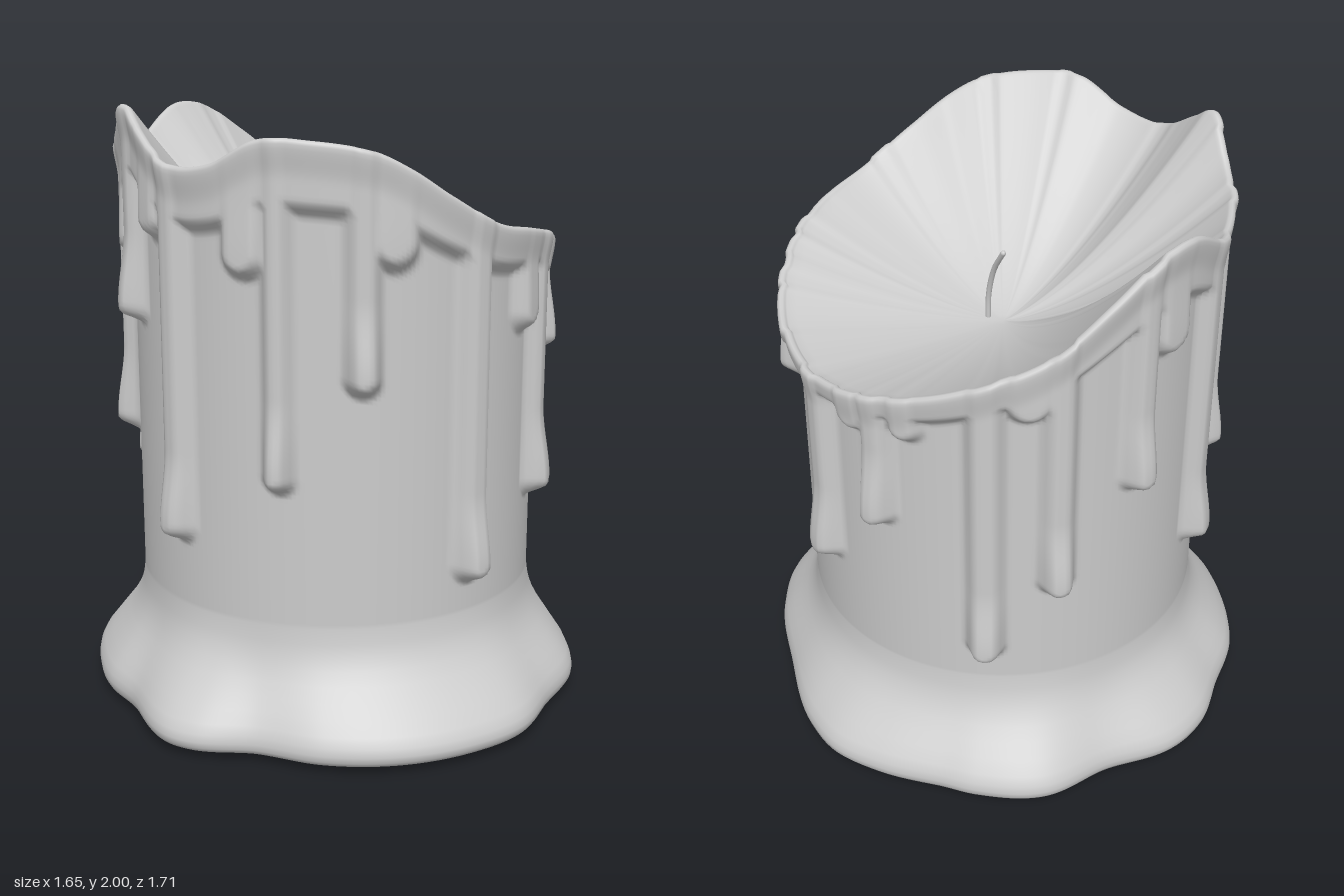
import * as THREE from 'three';

const N = 320; // segments around
const R = 0.665; // bare body radius
const CX = -0.01, CZ = -0.025; // body axis
const { smoothstep, lerp, degToRad } = THREE.MathUtils;

// [degrees from the front towards +x, height of the rim]
const RIM = [[0, 1.77], [15, 1.67], [30, 1.63], [45, 1.59], [60, 1.53], [75, 1.47], [90, 1.44], [103, 1.44],
  [120, 1.48], [135, 1.53], [150, 1.6], [165, 1.68], [180, 1.82], [193, 1.92], [205, 1.93], [220, 1.84],
  [235, 1.84], [250, 1.88], [263, 2.0], [271, 1.95], [285, 1.85], [299, 1.86], [312, 1.94], [325, 1.94],
  [340, 1.91], [350, 1.85]];

// [degrees, radius of the puddled foot]
const FOOT = [[0, 0.855], [14, 0.85], [30, 0.8], [47, 0.815], [60, 0.8], [82, 0.78], [104, 0.845], [114, 0.87],
  [125, 0.86], [140, 0.845], [149, 0.865], [164, 0.886], [180, 0.835], [196, 0.89], [207, 0.89], [220, 0.855],
  [233, 0.865], [249, 0.85], [260, 0.84], [273, 0.815], [290, 0.88], [298, 0.87], [311, 0.8], [327, 0.83], [343, 0.85]];

// long drips: [degrees, half width, height of the tip]
const DRIPS = [[-44, 0.048, 0.86], [-22, 0.055, 1.17], [10, 0.06, 0.52], [43, 0.058, 0.71], [61, 0.055, 1.15],
  [97, 0.06, 0.7], [119, 0.056, 0.98], [149, 0.06, 0.51], [168, 0.056, 0.77], [191, 0.055, 1.1],
  [221, 0.06, 0.68], [242, 0.055, 0.88], [262, 0.055, 1.31], [284, 0.058, 0.64]];

// short broad runs that widen the tops of the drips
const RUNS = [[-53, 0.075, 1.52], [-14, 0.08, 1.55], [33, 0.07, 1.29], [51, 0.06, 1.42], [72, 0.11, 1.34],
  [112, 0.07, 1.3], [128, 0.06, 1.33], [160, 0.08, 1.44], [200, 0.08, 1.55], [250, 0.07, 1.5], [275, 0.07, 1.6]];

// smooth closed interpolation of a [degrees, value] table
function around(table, deg) {
  const n = table.length;
  const at = (k) => {
    const turn = Math.floor(k / n);
    const [a, v] = table[k - turn * n];
    return [a + 360 * turn, v];
  };
  let k = n - 1;
  while (table[k][0] > deg) k--;
  const [p0, p1, p2, p3] = [at(k - 1), at(k), at(k + 1), at(k + 2)];
  const h = p2[0] - p1[0], t = (deg - p1[0]) / h;
  const m1 = (p2[1] - p0[1]) / (p2[0] - p0[0]) * h;
  const m2 = (p3[1] - p1[1]) / (p3[0] - p1[0]) * h;
  const t2 = t * t, t3 = t2 * t;
  return (2 * t3 - 3 * t2 + 1) * p1[1] + (t3 - 2 * t2 + t) * m1 + (3 * t2 - 2 * t3) * p2[1] + (t3 - t2) * m2;
}

// rounded raised strip ending in a round tip
function strip(deg, y, [a, w, tip], thick, swell) {
  const s = degToRad(((deg - a + 540) % 360) - 180) * 0.69;
  if (Math.abs(s) > w + 0.03) return 0;
  const below = Math.min(0, y - (tip + w));
  const d = Math.hypot(s, below);
  const bulge = swell * (1 - smoothstep(y, tip + 0.05, tip + 0.3));
  return (thick + bulge) * (1 - smoothstep(d, w - 0.035, w + 0.015));
}

// wax standing proud of the body at a given place
function waxThickness(deg, y, rim) {
  const edge = rim - 0.07 - 0.25 * (rim - 1.42);
  let t = 0.04 * smoothstep(y, edge - 0.035, edge + 0.02);
  for (const d of DRIPS) t = Math.max(t, strip(deg, y, d, 0.05, 0.028));
  for (const d of RUNS) t = Math.max(t, strip(deg, y, d, 0.042, 0.008));
  return t + 0.014 * smoothstep(y, rim - 0.12, rim - 0.01);
}

// how far the foot spreads at a given height
const FLARE = [[0.03, 0.93], [0.045, 0.985], [0.065, 1], [0.09, 0.97], [0.12, 0.88], [0.16, 0.7], [0.2, 0.52],
  [0.24, 0.34], [0.28, 0.2], [0.32, 0.1], [0.36, 0.04], [0.41, 0]];

// one vertical section, from the centre underneath, up the side, over the lip and into the bowl
function section(deg) {
  const a = degToRad(deg), sx = Math.sin(a), cz = Math.cos(a);
  const rim = around(RIM, deg), foot = around(FOOT, deg);
  const pts = [];
  const body = (r, y) => pts.push([CX + r * sx, y, CZ + r * cz]);

  // underside with a slight sag
  for (let i = 0; i < 8; i++) {
    const r = foot * 0.92 * i / 8, x = r * sx, z = r * cz;
    const sag = Math.exp(-((x + 0.45) ** 2 + (z + 0.2) ** 2) / 0.06);
    pts.push([x, 0.03 - 0.03 * sag, z]);
  }
  // flared foot
  for (const [y, f] of FLARE) {
    pts.push([lerp(CX + R * sx, foot * sx, f), y, lerp(CZ + R * cz, foot * cz, f)]);
  }
  // side with drips
  const rows = 104, y0 = 0.41, y1 = rim - 0.015;
  for (let i = 1; i <= rows; i++) {
    const y = lerp(y0, y1, i / rows);
    body(R + waxThickness(deg, y, rim), y);
  }
  // rounded lip
  const lip = R + waxThickness(deg, y1, rim) - 0.014;
  for (let i = 1; i <= 4; i++) {
    const t = i / 4 * Math.PI * 0.8;
    body(lip + 0.014 * Math.cos(t), y1 + 0.015 * Math.sin(t));
  }
  // melted bowl
  const floor = 1.37, top = y1 + 0.002, inner = lip - 0.017;
  for (let i = 0; i <= 24; i++) {
    const t = 1 - i / 24;
    body(inner * t, floor + (top - floor) * Math.pow(t, 1.5));
  }
  return pts;
}

function candleGeometry() {
  const sections = Array.from({ length: N }, (_, j) => section(j * 360 / N));
  const rows = sections[0].length;
  const pos = [], index = [];
  for (let i = 0; i < rows; i++) for (const s of sections) pos.push(...s[i]);
  // the two poles share a single vertex each
  const id = (i, j) => i * N + (i === 0 || i === rows - 1 ? 0 : j % N);
  for (let i = 0; i < rows - 1; i++) {
    for (let j = 0; j < N; j++) {
      const a = id(i, j), b = id(i, j + 1), c = id(i + 1, j + 1), d = id(i + 1, j);
      if (i > 0) index.push(a, b, d);
      if (i < rows - 2) index.push(b, c, d);
      else continue;
    }
  }
  const g = new THREE.BufferGeometry();
  g.setAttribute('position', new THREE.Float32BufferAttribute(pos, 3));
  g.setIndex(index);
  g.computeVertexNormals();
  return g;
}

export function createModel() {
  const group = new THREE.Group();
  group.name = 'candle';
  const material = new THREE.MeshStandardMaterial({ color: 0xcccccc });

  const wax = new THREE.Mesh(candleGeometry(), material);
  wax.name = 'waxBody';
  group.add(wax);

  // curved wick with a closed tip
  const path = new THREE.CatmullRomCurve3([
    new THREE.Vector3(0.025, 1.36, 0.015), new THREE.Vector3(0.025, 1.46, 0.01),
    new THREE.Vector3(0.023, 1.57, -0.025), new THREE.Vector3(0.02, 1.66, -0.085)]);
  const wick = new THREE.Mesh(new THREE.TubeGeometry(path, 20, 0.009, 10), material);
  wick.name = 'wick';
  const tip = new THREE.Mesh(new THREE.SphereGeometry(0.009, 10, 8), material);
  tip.name = 'wickTip';
  tip.position.copy(path.getPoint(1));
  group.add(wick, tip);
  return group;
}
